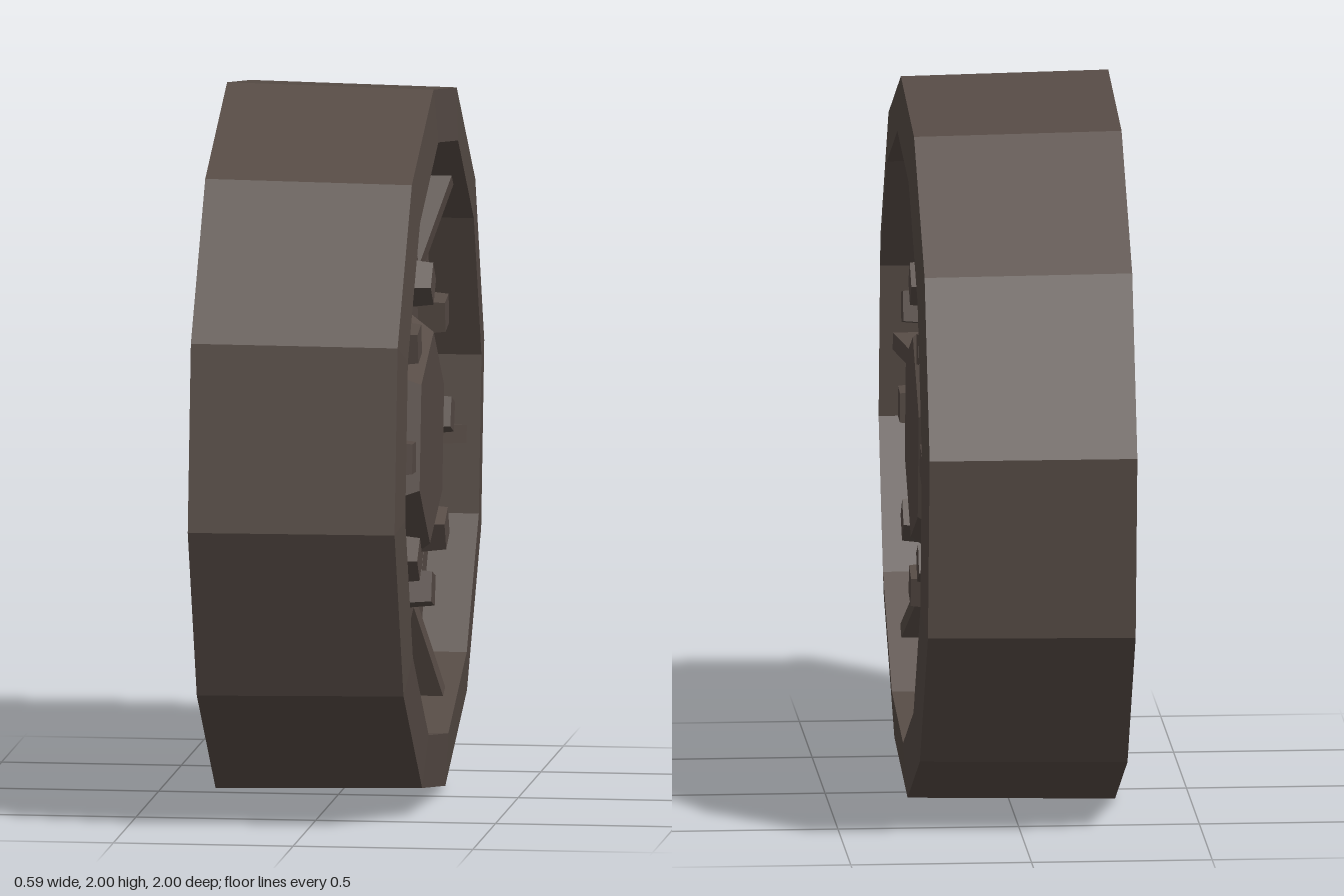
import * as THREE from 'three';

const rad = THREE.MathUtils.degToRad;

// Gives every face its own flat normal
function faceted(geometry) {
  const g = geometry.index ? geometry.toNonIndexed() : geometry;
  g.computeVertexNormals();
  return g;
}

// Many-sided turned part around the x axis; profile is [radius, x] from back to front,
// angle is the first corner's turn from straight up towards +z
function turned(name, profile, sides, angle, material) {
  const points = profile.map(([r, x]) => new THREE.Vector2(r, x));
  const g = new THREE.LatheGeometry(points, sides, rad(angle - 90));
  g.rotateZ(-Math.PI / 2);
  const mesh = new THREE.Mesh(faceted(g), material);
  mesh.name = name;
  return mesh;
}

export function createModel() {
  const brown = new THREE.MeshStandardMaterial({ color: 0x564b45 });
  brown.name = 'dark brown';

  const model = new THREE.Group();
  model.name = 'wheel';
  const wheel = new THREE.Group();
  wheel.name = 'wheelBody';
  wheel.position.y = 1;
  model.add(wheel);

  // Tyre: flat back, tread, front lip and the inner wall of the lip
  wheel.add(turned('tyre',
    [[0, -0.293], [1.0086, -0.293], [0.998, 0.281], [0.847, 0.292], [0.847, 0.16]],
    12, 7.5, brown));

  // Rim: ledge, groove wall, and cone rising to the hub face
  wheel.add(turned('rim',
    [[0.847, 0.16], [0.757, 0.16], [0.757, 0.07], [0.56, 0.155], [0.535, 0.19], [0, 0.19]],
    12, 7.5, brown));

  // Six-sided hub cap
  wheel.add(turned('hubCap', [[0.345, 0.19], [0.292, 0.26], [0, 0.26]], 6, -8, brown));

  // Eight square bolts, each turned a little differently
  const boltTurns = [48, 13, -3, 42, -16, 27, -18, 10];
  boltTurns.forEach((turn, i) => {
    const a = i * Math.PI / 4;
    const bolt = turned('bolt', [[0.069, 0.18], [0.059, 0.265], [0, 0.265]], 4, turn - 45, brown);
    bolt.position.set(0, 0.425 * Math.cos(a) + 0.005, 0.425 * Math.sin(a) + 0.005);
    wheel.add(bolt);
  });

  // Six sloping spokes bridging the groove
  const outline = new THREE.Shape([[0.185, 0.525], [0.255, 0.815], [0.1, 0.815], [0.04, 0.525]]
    .map(([x, r]) => new THREE.Vector2(x, r)));
  const spokeGeometry = new THREE.ExtrudeGeometry(outline, { depth: 0.05, bevelEnabled: false });
  spokeGeometry.translate(0, 0, -0.025);
  for (let i = 0; i < 6; i++) {
    const spoke = new THREE.Mesh(spokeGeometry, brown);
    spoke.name = 'spoke';
    spoke.rotation.x = rad(22.5 + i * 60);
    wheel.add(spoke);
  }

  return model;
}
